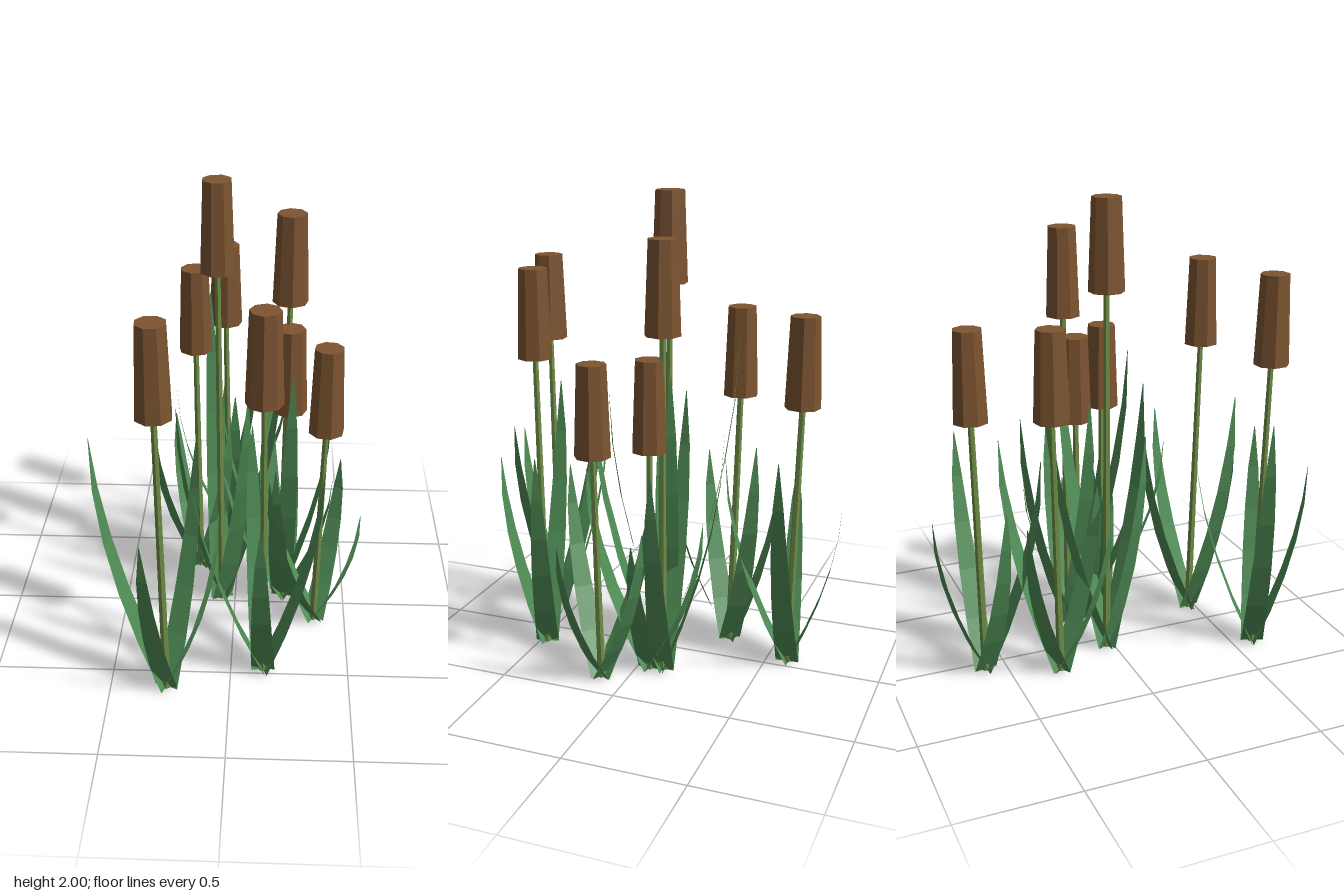
import * as THREE from 'three';

const leafGreen = new THREE.MeshStandardMaterial({ name: 'leaf green', color: 0x4f8c55, side: THREE.DoubleSide, flatShading: true });
const stemGreen = new THREE.MeshStandardMaterial({ name: 'stem green', color: 0x6f8f48, flatShading: true });
const seedBrown = new THREE.MeshStandardMaterial({ name: 'seed head brown', color: 0x7d5431, flatShading: true });

// Each reed: base x/z, head x/z, stem height, compass angle in degrees of its four leaves
const REEDS = [
  { base: [-0.05, -0.59], head: [-0.065, -0.617], height: 1.14, leaves: [98, 189, 278, 363] },
  { base: [-0.175, -0.29], head: [-0.185, -0.317], height: 1.14, leaves: [124, 222, 302, 395] },
  { base: [-0.06, -0.03], head: [-0.072, -0.035], height: 1.62, leaves: [207, 299, 383, 461] },
  { base: [0.21, -0.11], head: [0.226, -0.115], height: 1.46, leaves: [6, 108, 180, 276] },
  { base: [0.22, -0.055], head: [0.232, -0.06], height: 0.98, leaves: [0, 81, 176, 262] },
  { base: [0.36, 0.11], head: [0.384, 0.125], height: 0.98, leaves: [-32, 65, 152, 227] },
  { base: [0.138, 0.47], head: [0.13, 0.495], height: 1.3, leaves: [-94, 19, 102, 189] },
  { base: [-0.265, 0.595], head: [-0.277, 0.619], height: 1.3, leaves: [-108, -23, 65, 159] },
];
const REACH = [0.21, 0.25, 0.285, 0.305];
const HEAD_HEIGHT = 0.38;

// Flat blade that rises along +x, bending upright and narrowing to a point
function leafGeometry(reach, height) {
  const widths = [0.1, 0.092, 0.082, 0.067, 0.045, 0.003];
  const rows = widths.length - 1;
  const geometry = new THREE.PlaneGeometry(1, 1, 1, rows);
  const position = geometry.attributes.position;
  for (let i = 0; i < position.count; i++) {
    const row = Math.floor(i / 2);
    const t = row / rows;
    const side = i % 2 ? 0.5 : -0.5;
    position.setXYZ(i, reach * (1 - Math.pow(1 - t, 1.8)), height * t, side * widths[row]);
  }
  geometry.computeVertexNormals();
  return geometry;
}

function createReed({ base, head, height, leaves }) {
  const reed = new THREE.Group();
  reed.name = 'reed';

  // Slightly leaning stem
  const foot = new THREE.Vector3(base[0], 0, base[1]);
  const tip = new THREE.Vector3(head[0], height + 0.02, head[1]);
  const along = tip.clone().sub(foot);
  const stem = new THREE.Mesh(new THREE.CylinderGeometry(0.013, 0.018, along.length(), 6), stemGreen);
  stem.name = 'stem';
  stem.position.copy(foot).addScaledVector(along, 0.5);
  stem.quaternion.setFromUnitVectors(new THREE.Vector3(0, 1, 0), along.normalize());
  reed.add(stem);

  // Eight-sided seed head
  const seedHead = new THREE.Mesh(new THREE.CylinderGeometry(0.061, 0.075, HEAD_HEIGHT, 8), seedBrown);
  seedHead.name = 'seedHead';
  seedHead.position.set(head[0], height + HEAD_HEIGHT / 2, head[1]);
  seedHead.rotation.y = THREE.MathUtils.degToRad(leaves[0]);
  reed.add(seedHead);

  // Four leaves, each taller and wider spread than the last
  leaves.forEach((angle, i) => {
    const leaf = new THREE.Mesh(leafGeometry(REACH[i], height * (0.645 + 0.075 * i)), leafGreen);
    leaf.name = 'leaf';
    leaf.position.copy(foot);
    leaf.rotation.y = THREE.MathUtils.degToRad(angle);
    reed.add(leaf);
  });
  return reed;
}

export function createModel() {
  const model = new THREE.Group();
  model.name = 'reedCluster';
  REEDS.forEach((reed) => model.add(createReed(reed)));
  return model;
}
